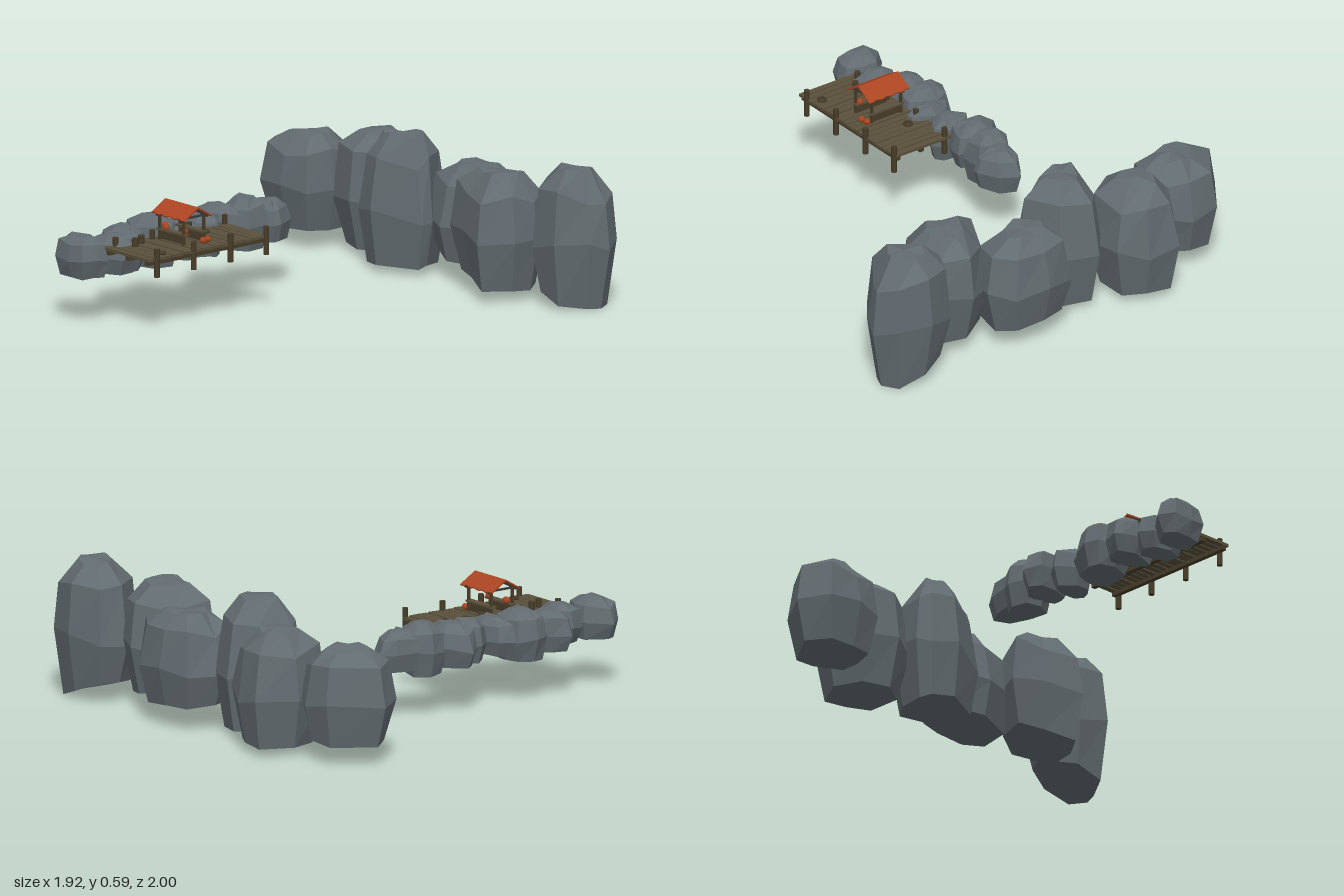
import * as THREE from 'three';

const mat = (name, color, flatShading = false) => {
  const m = new THREE.MeshStandardMaterial({ color });
  m.name = name;
  m.flatShading = flatShading;
  return m;
};

// small seeded generator, returns -1..1
const seeded = (s) => () => {
  s = (s * 16807) % 2147483647;
  return (s / 2147483647) * 2 - 1;
};

// boulder outlines seen from above, as x, z pairs going left, back, right, front
const outlines = [
  [-0.96, -0.66, -0.82, -0.86, -0.69, -0.87, -0.55, -0.79, -0.56, -0.67, -0.6, -0.55, -0.73, -0.52, -0.88, -0.54],
  [-0.61, -0.84, -0.52, -1.0, -0.38, -0.98, -0.26, -0.92, -0.26, -0.71, -0.41, -0.62, -0.57, -0.67],
  [-0.32, -0.61, -0.27, -0.79, -0.19, -0.89, -0.03, -0.83, 0.06, -0.67, 0.05, -0.62, -0.16, -0.52, -0.28, -0.56],
  [-0.06, -0.81, 0.0, -0.95, 0.14, -0.99, 0.3, -0.97, 0.39, -0.89, 0.35, -0.71, 0.14, -0.64, -0.02, -0.7],
  [0.24, -0.61, 0.3, -0.79, 0.46, -0.89, 0.6, -0.83, 0.65, -0.74, 0.64, -0.62, 0.54, -0.5, 0.38, -0.56],
  [0.56, -0.83, 0.61, -0.93, 0.75, -0.99, 0.9, -0.95, 0.96, -0.86, 0.93, -0.78, 0.84, -0.66, 0.69, -0.67],
];
const toPoints = (flat) => {
  const pts = [];
  for (let i = 0; i < flat.length; i += 2) pts.push([flat[i], flat[i + 1]]);
  return pts;
};
const range = (a) => [Math.min(...a), Math.max(...a)];

// stretch an outline into a rectangle on the ground plane
function fitOutline(pts, x0, x1, z0, z1) {
  const [a, b] = range(pts.map((p) => p[0]));
  const [c, d] = range(pts.map((p) => p[1]));
  return pts.map(([x, z]) => [x0 + ((x - a) / (b - a)) * (x1 - x0), z0 + ((z - c) / (d - c)) * (z1 - z0)]);
}

// faceted boulder: the outline is repeated at four heights and capped
function boulderGeometry(pts, y0, y1, tilt, seed) {
  const rnd = seeded(seed * 7919 + 13);
  for (let i = 0; i < 5; i++) rnd();
  const n = pts.length, h = y1 - y0;
  const cx = pts.reduce((s, p) => s + p[0], 0) / n;
  const cz = pts.reduce((s, p) => s + p[1], 0) / n;
  const rings = [[0, 0.78], [0.42, 1], [0.81, 0.84], [0.98, 0.42]];
  const pos = [], index = [];
  rings.forEach(([t, r], k) => {
    pts.forEach(([x, z]) => {
      const s = k === 1 ? 1 : r + rnd() * 0.05;
      const lean = k === 0 ? tilt * (x - cx) : 0;
      const bump = k === 0 ? 0.02 : k === 3 ? 0.03 : 0.06;
      pos.push(cx + (x - cx) * s, y0 + h * (t + rnd() * bump) + lean, cz + (z - cz) * s);
    });
  });
  pos.push(cx, y0 + h * 0.02, cz, cx, y1, cz);
  const bottom = 4 * n, top = bottom + 1;
  for (let i = 0; i < n; i++) {
    const j = (i + 1) % n;
    for (let k = 0; k < 3; k++) {
      const a = k * n + i, b = k * n + j;
      index.push(a, a + n, b, b, a + n, b + n);
    }
    index.push(bottom, i, j, top, 3 * n + j, 3 * n + i);
  }
  let g = new THREE.BufferGeometry();
  g.setAttribute('position', new THREE.Float32BufferAttribute(pos, 3));
  g.setIndex(index);
  g = g.toNonIndexed();
  g.computeVertexNormals();
  return g;
}

export function createModel() {
  const model = new THREE.Group();
  model.name = 'rockyDock';
  const stone = mat('stone grey', 0x626b70, true);
  const plankWood = mat('weathered plank', 0x5a513c);
  const darkWood = mat('dark timber', 0x483d29);
  const tile = mat('roof orange', 0xab4522);
  const ash = mat('gable grey', 0x3a3a38);

  const add = (parent, name, geo, material, x = 0, y = 0, z = 0) => {
    const m = new THREE.Mesh(geo, material);
    m.name = name;
    m.position.set(x, y, z);
    parent.add(m);
    return m;
  };
  const box = (parent, name, material, w, h, d, x, y, z) =>
    add(parent, name, new THREE.BoxGeometry(w, h, d), material, x, y, z);
  const group = (name) => {
    const g = new THREE.Group();
    g.name = name;
    model.add(g);
    return g;
  };

  // cliff wall of six tall boulders: bottom, top, slope of the base
  const cliff = group('cliffWall');
  [[0.09, 0.49, 0], [0.04, 0.53, 0], [0.035, 0.59, 0.05], [0.1, 0.49, -0.05], [0.07, 0.54, -0.12], [0.04, 0.595, -0.22]]
    .forEach(([y0, y1, tilt], i) =>
      add(cliff, 'cliffBoulder', boulderGeometry(toPoints(outlines[i]), y0, y1, tilt, i + 1), stone));

  // breakwater of nine small boulders: x range, z range, y range
  const breakwater = group('breakwater');
  [
    [-0.38, -0.185, -0.19, 0.03, 0.21, 0.38], [-0.41, -0.22, -0.06, 0.13, 0.185, 0.405],
    [-0.475, -0.22, 0.08, 0.24, 0.205, 0.39], [-0.4, -0.195, 0.205, 0.36, 0.2, 0.38],
    [-0.42, -0.18, 0.345, 0.48, 0.21, 0.37], [-0.465, -0.22, 0.42, 0.62, 0.185, 0.4],
    [-0.465, -0.22, 0.57, 0.74, 0.2, 0.375], [-0.39, -0.175, 0.7, 0.85, 0.21, 0.37],
    [-0.445, -0.2, 0.83, 1.0, 0.21, 0.385],
  ].forEach(([x0, x1, z0, z1, y0, y1], i) => {
    const pts = fitOutline(toPoints(outlines[(i * 5 + 2) % 6]), x0, x1, z0, z1);
    add(breakwater, 'breakwaterBoulder', boulderGeometry(pts, y0, y1, 0, i + 20), stone);
  });

  // dock: cross planks on long beams, with posts along both edges
  const dock = group('dock');
  const rnd = seeded(77);
  const planks = 20, pitch = 0.66 / planks;
  for (let i = 0; i < planks; i++) {
    const p = box(dock, 'deckPlank', plankWood, 0.29 + rnd() * 0.006, 0.012, pitch * 0.84,
      -0.106 + rnd() * 0.003, 0.324 + rnd() * 0.002, 0.2 + pitch * (i + 0.5));
    p.rotation.y = rnd() * 0.012;
  }
  for (const x of [-0.22, -0.1, 0.02]) box(dock, 'deckBeam', darkWood, 0.02, 0.018, 0.65, x, 0.309, 0.53);
  for (const x of [-0.225, 0.037])
    for (const z of [0.215, 0.41, 0.61, 0.81])
      add(dock, 'dockPost', new THREE.CylinderGeometry(0.012, 0.012, 0.12, 8), darkWood, x, 0.308, z);

  // small cargo and rope coils on the deck
  for (const [x, z] of [[-0.16, 0.38], [0.0, 0.755]]) {
    const coil = add(dock, 'ropeCoil', new THREE.TorusGeometry(0.016, 0.006, 6, 12), darkWood, x, 0.336, z);
    coil.rotation.x = Math.PI / 2;
  }
  for (const [x, z] of [[-0.19, 0.7], [-0.17, 0.75]])
    add(dock, 'barrel', new THREE.CylinderGeometry(0.013, 0.013, 0.036, 10), darkWood, x, 0.348, z);

  // stall frame
  const stall = group('stall');
  const cx = -0.125, cz = 0.535;
  for (const x of [-0.2, -0.05]) {
    for (const s of [-1, 1]) {
      box(stall, 'stallPost', darkWood, 0.01, 0.12, 0.01, x, 0.39, cz + s * 0.055);
      // sloping rafters under the roof
      const rafter = box(stall, 'rafter', ash, 0.01, 0.008, 0.086, x, 0.457, cz + s * 0.036);
      rafter.rotation.x = s * 0.54;
    }
    box(stall, 'tieBeam', ash, 0.008, 0.008, 0.11, x, 0.443, cz);
  }
  // counter on the two long sides
  for (const s of [-1, 1]) {
    box(stall, 'counterTop', plankWood, 0.17, 0.008, 0.03, cx, 0.374, cz + s * 0.05);
    box(stall, 'counterFront', darkWood, 0.15, 0.035, 0.006, cx, 0.35, cz + s * 0.05);
  }

  // gabled roof made of narrow strips with slightly uneven eaves
  const strips = 8, stripWidth = 0.208 / strips;
  for (const s of [-1, 1])
    for (let i = 0; i < strips; i++) {
      const len = 0.086 + (i % 2) * 0.004;
      const strip = box(stall, 'roofStrip', tile, stripWidth, 0.006, len, cx - 0.104 + stripWidth * (i + 0.5),
        0.486 - Math.sin(0.54) * len / 2, cz + s * Math.cos(0.54) * len / 2);
      strip.rotation.x = s * 0.54;
    }

  // orange pots on the counter and the deck
  for (const [x, y, z] of [[-0.19, 0.388, 0.57], [-0.165, 0.385, 0.585], [-0.06, 0.385, 0.575], [-0.02, 0.345, 0.51], [-0.025, 0.345, 0.48]])
    add(stall, 'pot', new THREE.SphereGeometry(0.014, 10, 8), tile, x, y, z);

  return model;
}
